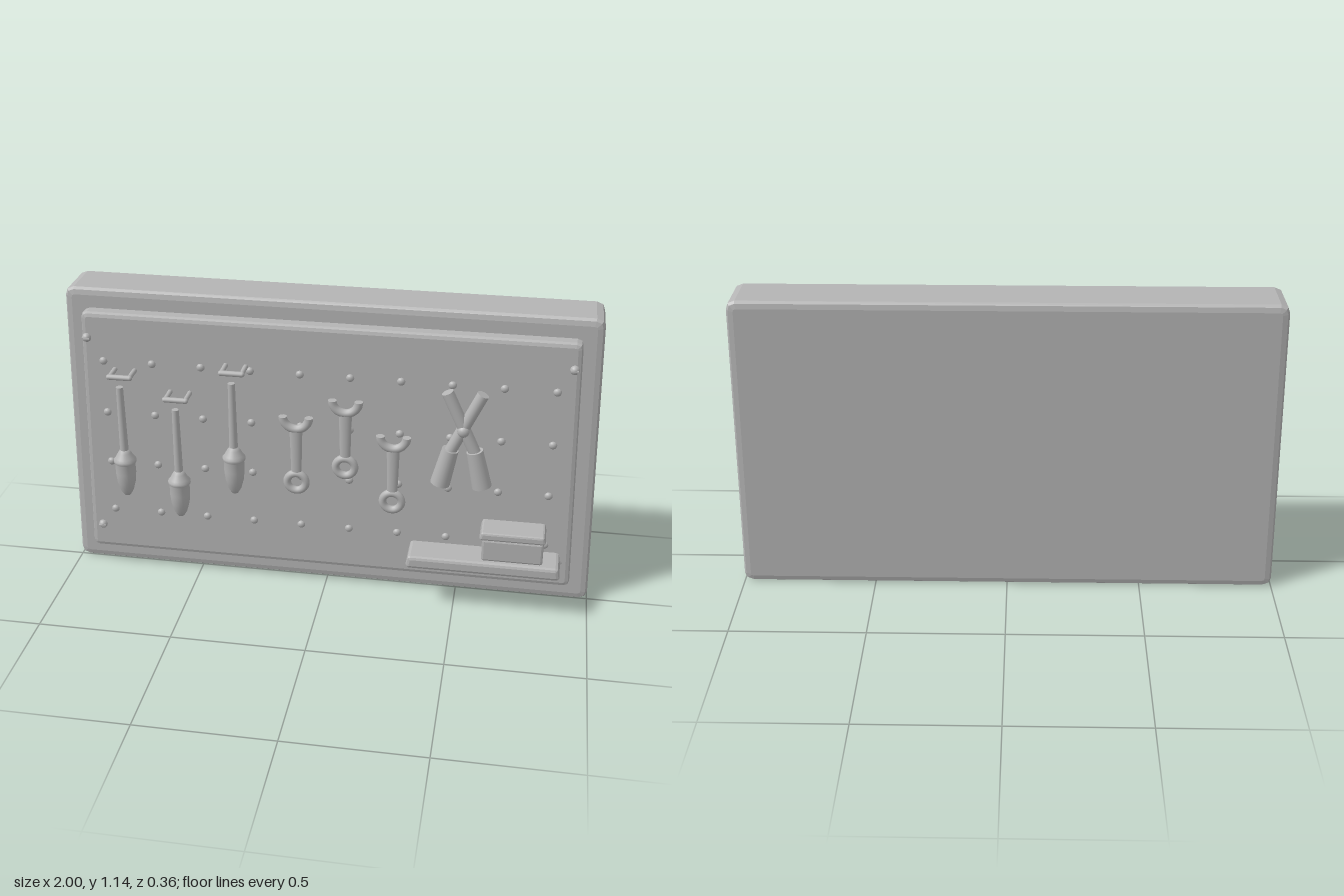
import * as THREE from 'three';

const grey = new THREE.MeshStandardMaterial({ color: 0xb4b4b4 });
grey.name = 'plain grey';

function add(parent, name, geometry, x = 0, y = 0, z = 0) {
  const mesh = new THREE.Mesh(geometry, grey);
  mesh.name = name;
  mesh.position.set(x, y, z);
  parent.add(mesh);
  return mesh;
}

function group(parent, name, x, y, z) {
  const g = new THREE.Group();
  g.name = name;
  g.position.set(x, y, z);
  parent.add(g);
  return g;
}

// Bevelled plate whose outline narrows from the bottom to the top
function plate(wBottom, wTop, y0, y1, z0, z1, bevel, bevelZ, corner) {
  const c = corner, b = wBottom, t = wTop;
  const shape = new THREE.Shape([
    [-b + c, y0], [b - c, y0], [b - c * 0.25, y0 + c * 0.3], [b, y0 + c],
    [t, y1 - c], [t - c * 0.25, y1 - c * 0.3], [t - c, y1],
    [-t + c, y1], [-t + c * 0.25, y1 - c * 0.3], [-t, y1 - c],
    [-b, y0 + c], [-b + c * 0.25, y0 + c * 0.3],
  ].map(([x, y]) => new THREE.Vector2(x, y)));
  const g = new THREE.ExtrudeGeometry(shape, {
    depth: z1 - z0 - 2 * bevelZ, bevelEnabled: true, bevelSegments: 2,
    bevelSize: bevel, bevelOffset: -bevel, bevelThickness: bevelZ,
  });
  return g.translate(0, 0, z0 + bevelZ);
}

// Round rod between two points
function rod(parent, name, a, b, rA, rB = rA) {
  const from = new THREE.Vector3(...a), to = new THREE.Vector3(...b);
  const dir = to.clone().sub(from);
  const mesh = add(parent, name, new THREE.CylinderGeometry(rB, rA, dir.length(), 20));
  mesh.position.copy(from).addScaledVector(dir, 0.5);
  mesh.quaternion.setFromUnitVectors(new THREE.Vector3(0, 1, 0), dir.normalize());
  return mesh;
}

// Screwdriver hanging below a U-shaped hook
function screwdriver(parent, x, hookY, gripY) {
  const g = group(parent, 'screwdriver', x, gripY, 0.135);
  const profile = [
    [0, 0], [0.012, 0.004], [0.024, 0.024], [0.034, 0.06], [0.038, 0.1],
    [0.037, 0.138], [0.042, 0.144], [0.042, 0.154], [0.035, 0.162],
    [0.024, 0.182], [0.015, 0.195], [0, 0.196],
  ].map(([r, y]) => new THREE.Vector2(r, y));
  add(g, 'grip', new THREE.LatheGeometry(profile, 24));
  rod(g, 'shaft', [0, 0.18, 0], [0, hookY - 0.035 - gripY, 0], 0.016, 0.013);

  const h = group(parent, 'hook', x, hookY, 0);
  for (const s of [-1, 1]) rod(h, 'hookProng', [s * 0.037, 0, 0.05], [s * 0.037, 0, 0.13], 0.009);
  const bar = new THREE.CapsuleGeometry(0.01, 0.078, 6, 12).rotateZ(Math.PI / 2);
  add(h, 'hookBar', bar, 0, 0, 0.13);
}

// Spanner with an open jaw above and a ring below
function spanner(parent, x, ringY) {
  const g = group(parent, 'spanner', x, ringY, 0.115);
  add(g, 'ring', new THREE.TorusGeometry(0.035, 0.0145, 12, 28));
  const shaft = rod(g, 'shaft', [0, 0.04, 0], [0, 0.22, 0], 0.019, 0.024);
  shaft.scale.z = 0.6;
  const jaw = add(g, 'jaw', new THREE.TorusGeometry(0.048, 0.016, 12, 20, Math.PI), 0, 0.266, 0);
  jaw.rotation.z = Math.PI;
  for (const s of [-1, 1]) {
    const cap = add(g, 'jawTip', new THREE.CircleGeometry(0.016, 12), s * 0.048, 0.266, 0);
    cap.rotation.x = -Math.PI / 2;
  }
}

export function createModel() {
  const model = new THREE.Group();
  model.name = 'toolBoard';

  // Backing slab and raised panel
  add(model, 'backing', plate(1, 0.968, 0, 1.145, -0.18, 0.01, 0.026, 0.015, 0.032));
  add(model, 'panel', plate(0.927, 0.898, 0.083, 1.072, -0.01, 0.06, 0.017, 0.014, 0.022));

  // Grid of pegs
  const pegs = group(model, 'pegs', 0, 0, 0.06);
  for (let row = 0; row < 4; row++) {
    for (let col = 0; col < 10; col++) {
      const peg = add(pegs, 'peg', new THREE.SphereGeometry(0.015, 14, 8),
        -0.824 + col * 0.183, 0.26 + row * 0.2085, 0);
      peg.scale.z = 0.75;
    }
  }

  // Slotted screws in the corners
  for (const x of [-0.88, 0.875]) {
    for (const y of [0.185, 0.975]) {
      const screw = group(model, 'screw', x, y, 0.06);
      add(screw, 'screwHead', new THREE.SphereGeometry(0.017, 16, 10));
      add(screw, 'screwSlot', new THREE.BoxGeometry(0.028, 0.006, 0.008), 0, 0, 0.014);
    }
  }

  screwdriver(model, -0.745, 0.855, 0.37);
  screwdriver(model, -0.54, 0.78, 0.298);
  screwdriver(model, -0.327, 0.902, 0.417);

  spanner(model, -0.098, 0.475);
  spanner(model, 0.083, 0.553);
  spanner(model, 0.258, 0.425);

  // Crossed pliers
  const pliers = group(model, 'pliers', 0.508, 0.755, 0.145);
  for (const s of [-1, 1]) {
    rod(pliers, 'plierArm', [s * 0.062, 0.142, 0], [-s * 0.05, -0.1, 0], 0.022);
    rod(pliers, 'plierGrip', [-s * 0.043, -0.08, 0], [-s * 0.075, -0.22, 0], 0.03, 0.036);
  }
  const pivot = add(pliers, 'pivot', new THREE.SphereGeometry(0.022, 16, 10), 0, 0, 0.014);
  pivot.scale.z = 0.8;

  // Shelf with a lidded box
  const shelf = plate(0.283, 0.278, 0.18, 0.23, 0.04, 0.18, 0.012, 0.012, 0.012);
  add(model, 'shelf', shelf, 0.603, 0, 0);
  const box = plate(0.112, 0.112, 0.228, 0.318, 0.05, 0.158, 0.008, 0.008, 0.008);
  add(model, 'box', box, 0.708, 0, 0);
  const lid = plate(0.12, 0.116, 0.318, 0.35, 0.045, 0.165, 0.008, 0.008, 0.008);
  add(model, 'boxLid', lid, 0.706, 0, 0);

  return model;
}
